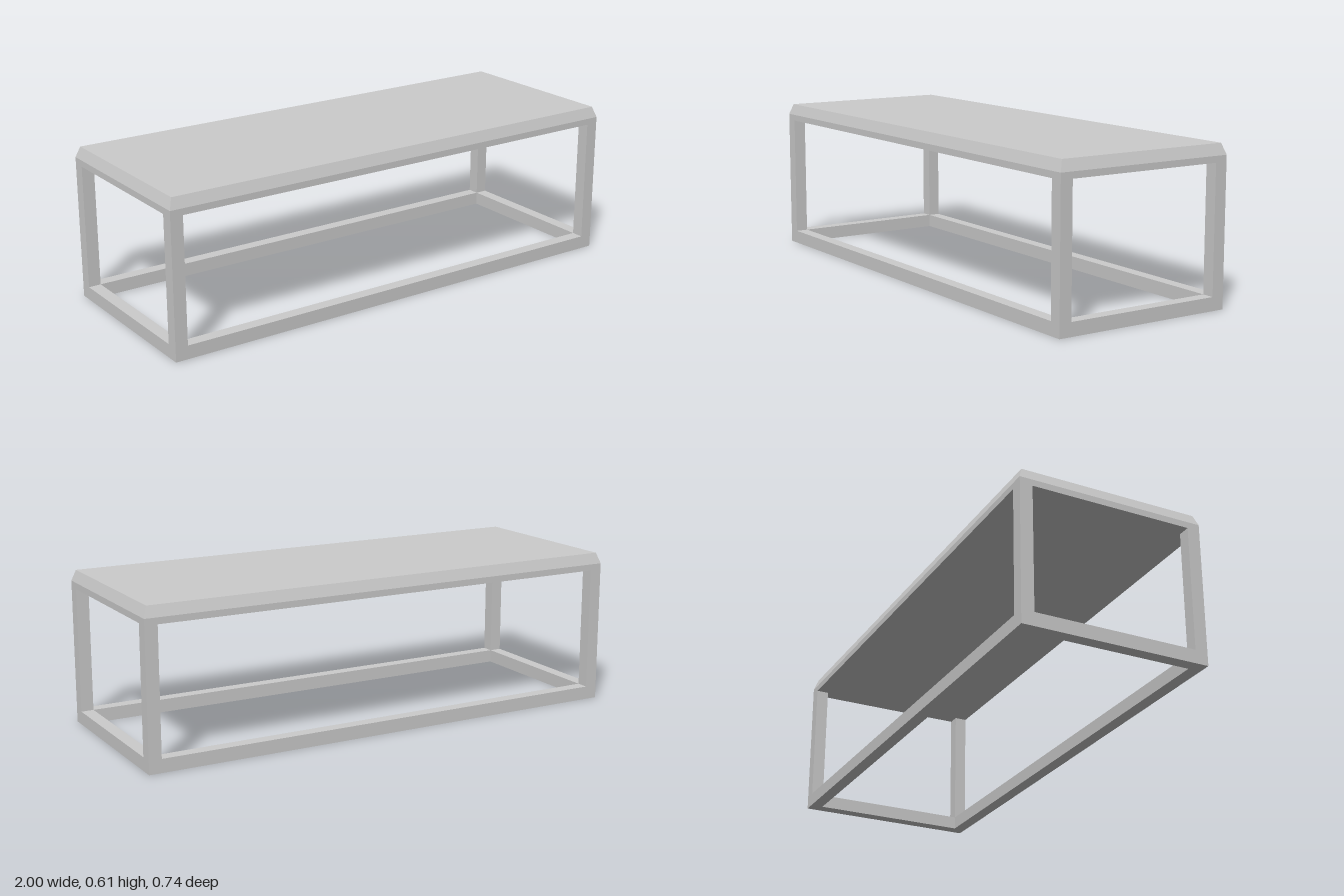
import * as THREE from 'three';

const HALF_X = 1, HALF_Z = 0.37;      // outer half sizes
const BAR = 0.05;                      // width of legs and rails
const RAIL_TOP = 0.053, SLAB_BOTTOM = 0.545, BEVEL_START = 0.57, TOP = 0.613;
const BEVEL = 0.015;                   // inset of the top face

const material = new THREE.MeshStandardMaterial({ color: 0xcccccc, flatShading: true });

function addMesh(group, name, geometry) {
  const mesh = new THREE.Mesh(geometry, material);
  mesh.name = name;
  group.add(mesh);
  return mesh;
}

function rectangle(Type, halfX, halfZ) {
  return new Type([[-1, -1], [1, -1], [1, 1], [-1, 1]]
    .map(([x, z]) => new THREE.Vector2(x * halfX, z * halfZ)));
}

// Slab with straight sides below and a chamfer drawn in towards the top face
function tableTopGeometry() {
  let geometry = new THREE.BoxGeometry(2 * HALF_X, 2, 2 * HALF_Z, 1, 2, 1);
  const p = geometry.attributes.position;
  for (let i = 0; i < p.count; i++) {
    const level = Math.round(p.getY(i));
    p.setY(i, level < 0 ? SLAB_BOTTOM : level === 0 ? BEVEL_START : TOP);
    if (level > 0) {
      p.setX(i, Math.sign(p.getX(i)) * (HALF_X - BEVEL));
      p.setZ(i, Math.sign(p.getZ(i)) * (HALF_Z - BEVEL));
    }
  }
  geometry = geometry.toNonIndexed();
  geometry.computeVertexNormals();
  return geometry;
}

export function createModel() {
  const group = new THREE.Group();
  group.name = 'table';

  addMesh(group, 'tableTop', tableTopGeometry());

  // Rectangular floor frame
  const outline = rectangle(THREE.Shape, HALF_X, HALF_Z);
  outline.holes.push(rectangle(THREE.Path, HALF_X - BAR, HALF_Z - BAR));
  const frame = new THREE.ExtrudeGeometry(outline, { depth: RAIL_TOP, bevelEnabled: false });
  frame.rotateX(-Math.PI / 2);
  addMesh(group, 'floorFrame', frame);

  // Four corner legs between frame and top
  const legHeight = SLAB_BOTTOM - RAIL_TOP;
  const legGeometry = new THREE.BoxGeometry(BAR, legHeight, BAR);
  for (const [side, sx] of [['Left', 1], ['Right', -1]]) {
    for (const [end, sz] of [['front', 1], ['back', -1]]) {
      const leg = addMesh(group, `${end}${side}Leg`, legGeometry);
      leg.position.set(sx * (HALF_X - BAR / 2), RAIL_TOP + legHeight / 2, sz * (HALF_Z - BAR / 2));
    }
  }
  return group;
}
